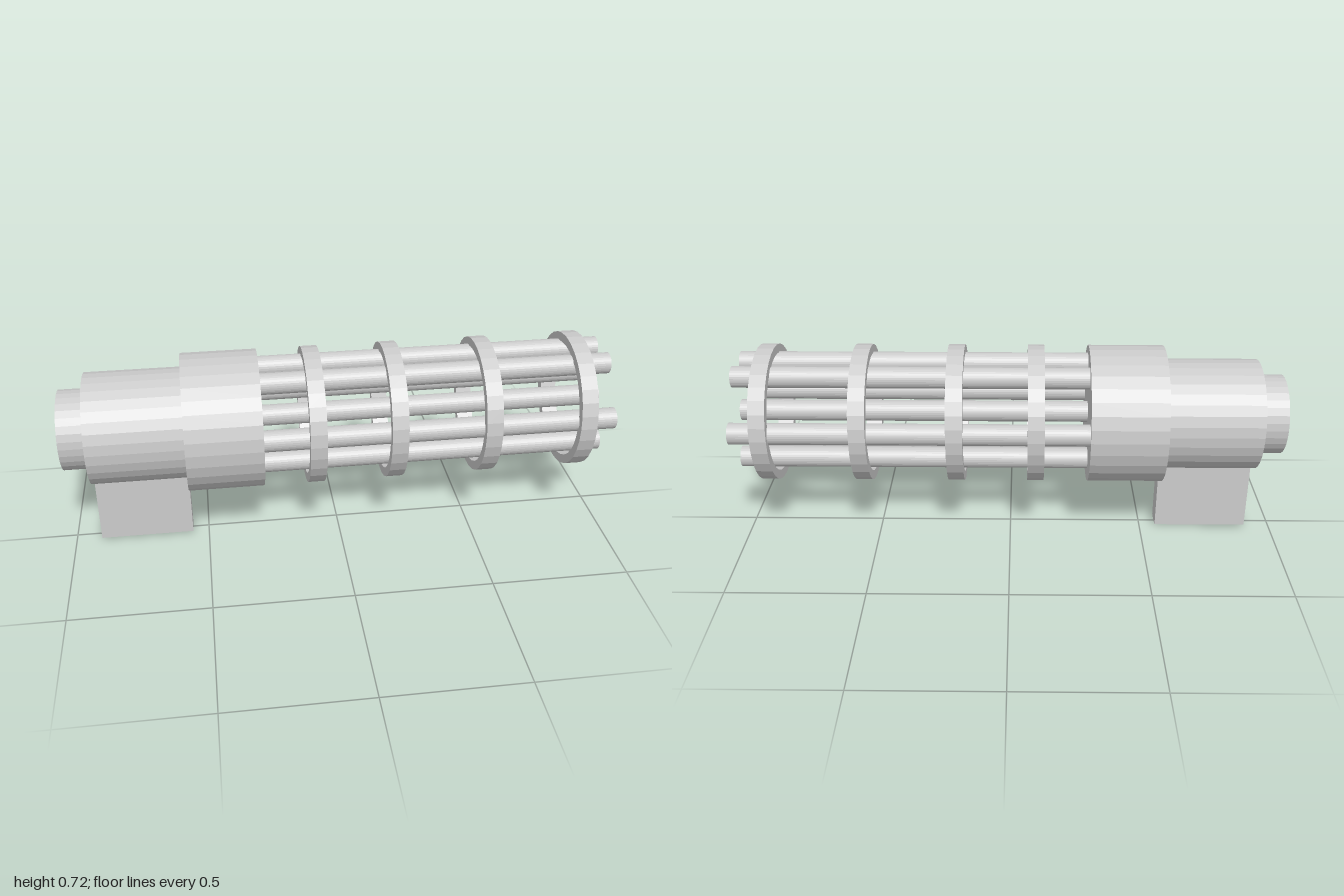
import * as THREE from 'three';

const AXIS_Y = 0.466;
const SIDES = 32;
const material = new THREE.MeshStandardMaterial({ color: 0xcccccc, flatShading: true });

export function createModel() {
  const model = new THREE.Group();
  model.name = 'rotaryBarrelAssembly';

  function add(name, geometry, x, y, z) {
    const mesh = new THREE.Mesh(geometry, material);
    mesh.name = name;
    mesh.position.set(x, y, z);
    model.add(mesh);
  }

  // Solid cylinder lying along x from x0 to x1
  function rod(name, x0, x1, radius, y = AXIS_Y, z = 0) {
    const geometry = new THREE.CylinderGeometry(radius, radius, x1 - x0, SIDES);
    add(name, geometry.rotateZ(-Math.PI / 2), (x0 + x1) / 2, y, z);
  }

  // Stepped housing
  rod('rearCap', -1, -0.905, 0.146);
  rod('rearHousing', -0.905, -0.56, 0.203);
  rod('frontHousing', -0.56, -0.285, 0.252);

  // Seven barrels, one in the middle: [z, y]
  const barrels = [
    [0.068, 0.637], [-0.072, 0.637],
    [0.189, 0.472], [0, 0.472], [-0.198, 0.472],
    [0.068, 0.313], [-0.068, 0.313],
  ];
  barrels.forEach(([z, y], i) => rod(`barrel${i + 1}`, -0.285, 1, 0.039, y, z));

  // Clamp rings: a square section turned around the barrel axis
  const outer = 0.252, inner = 0.219, half = 0.03;
  const section = [
    [inner, -half], [outer, -half], [outer, half], [inner, half], [inner, -half],
  ].map(([r, h]) => new THREE.Vector2(r, h));
  [-0.093, 0.197, 0.538, 0.887].forEach((x, i) => {
    const ring = new THREE.LatheGeometry(section, SIDES).rotateZ(-Math.PI / 2);
    add(`clampRing${i + 1}`, ring, x, AXIS_Y, 0);
  });

  // Flat grip under the rear housing, with a slightly bowed bottom
  const profile = new THREE.Shape([
    [-0.039, 0.005], [0, 0], [0.039, 0.005], [0.039, 0.3], [-0.039, 0.3],
  ].map(([z, y]) => new THREE.Vector2(z, y)));
  const grip = new THREE.ExtrudeGeometry(profile, { depth: 0.345, bevelEnabled: false });
  add('grip', grip.rotateY(Math.PI / 2), -0.905, 0, 0);

  return model;
}
